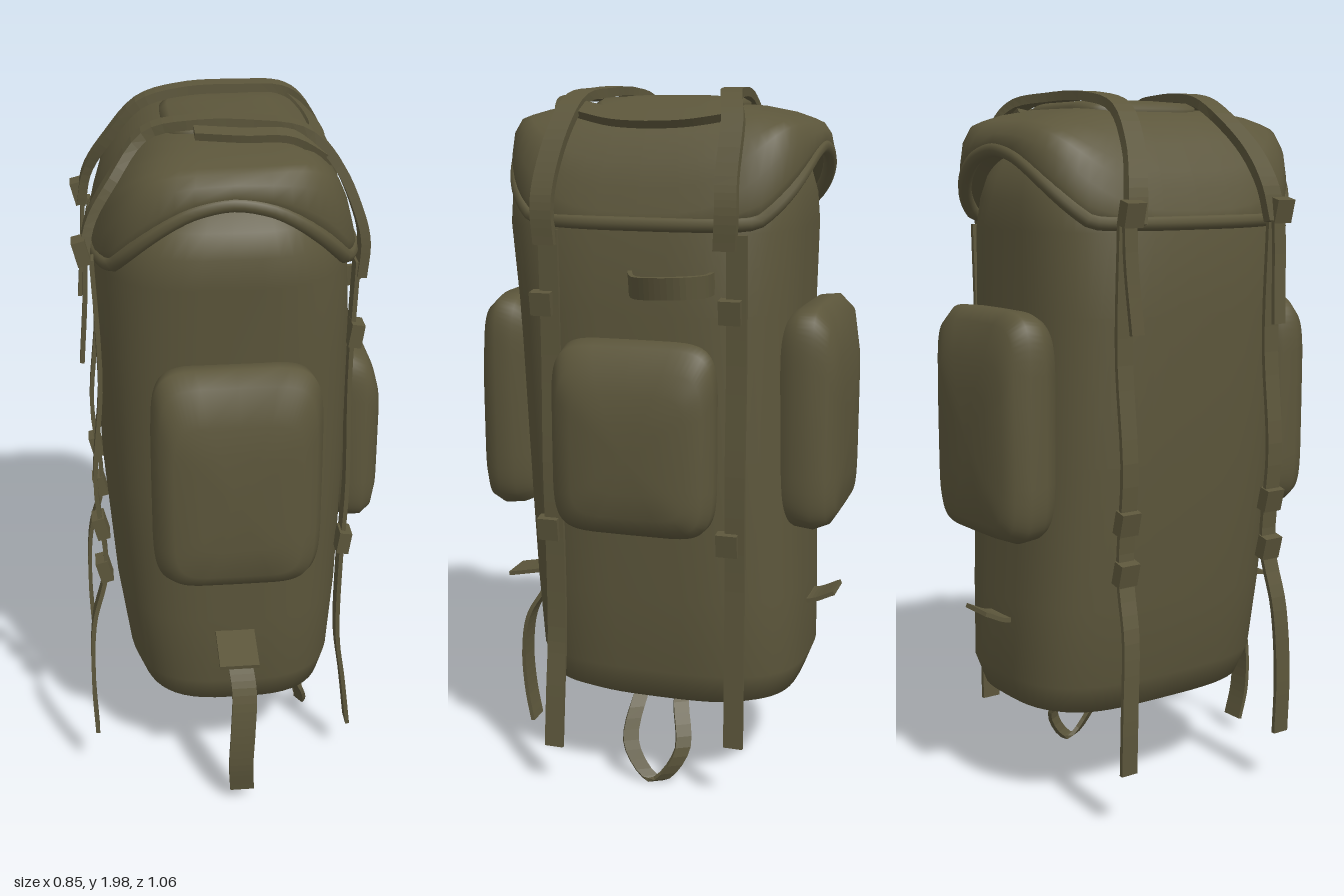
import * as THREE from 'three';

const canvas = new THREE.MeshStandardMaterial({ color: 0x5c563b });
canvas.name = 'olive canvas';

// Closed skin over a stack of point rings, capped at both ends
function skin(rings) {
  const n = rings[0].length, pos = [], idx = [];
  rings.forEach(r => r.forEach(p => pos.push(p.x, p.y, p.z)));
  for (let i = 0; i < rings.length - 1; i++) {
    for (let j = 0; j < n; j++) {
      const a = i * n + j, b = i * n + (j + 1) % n;
      idx.push(a, a + n, b, b, a + n, b + n);
    }
  }
  [0, rings.length - 1].forEach(i => {
    const c = rings[i].reduce((s, p) => s.add(p), new THREE.Vector3()).divideScalar(n);
    const k = pos.length / 3;
    pos.push(c.x, c.y, c.z);
    for (let j = 0; j < n; j++) {
      const a = i * n + j, b = i * n + (j + 1) % n;
      if (i === 0) idx.push(k, a, b); else idx.push(k, b, a);
    }
  });
  const g = new THREE.BufferGeometry();
  g.setAttribute('position', new THREE.Float32BufferAttribute(pos, 3));
  g.setIndex(idx);
  g.computeVertexNormals();
  return g;
}

// Rounded-rectangle outline in x and z
function outline(y, x0, x1, z0, z1, power, count = 56) {
  const f = v => Math.sign(v) * Math.pow(Math.abs(v), 2 / power);
  return Array.from({ length: count }, (_, j) => {
    const t = j / count * Math.PI * 2;
    return new THREE.Vector3(
      (x0 + x1) / 2 + f(Math.cos(t)) * (x1 - x0) / 2, y,
      (z0 + z1) / 2 + f(Math.sin(t)) * (z1 - z0) / 2);
  });
}

// Flat webbing along a curve; "side" is the direction of its width
function ribbon(points, side, width, thick = 0.012) {
  const curve = new THREE.CatmullRomCurve3(points.map(p => new THREE.Vector3(...p)));
  const s = new THREE.Vector3(...side).normalize(), rings = [], steps = points.length * 4;
  for (let i = 0; i <= steps; i++) {
    const p = curve.getPoint(i / steps);
    const n = s.clone().cross(curve.getTangent(i / steps)).normalize();
    rings.push([[1, -1], [1, 1], [-1, 1], [-1, -1]].map(([a, b]) =>
      p.clone().addScaledVector(s, a * width / 2).addScaledVector(n, b * thick / 2)));
  }
  const g = skin(rings).toNonIndexed();
  g.computeVertexNormals();
  return g;
}

// Height of the arched lid, and of its hem that dips at the corners and sides
function lidHeight(x, z) {
  const u = Math.abs(x - 0.02) / (x > 0.02 ? 0.30 : 0.38);
  return 1.945 - 0.25 * u ** 4.5 - 0.055 * (z / 0.42) ** 4;
}
const hemHeight = x => 1.83 - 0.19 * Math.min(1, Math.abs(x + 0.02) / 0.3) ** 2;

function lidRing(r, droop) {
  const ring = outline(0, -0.02 - 0.335 * r, -0.02 + 0.335 * r, -0.008 - 0.41 * r, -0.008 + 0.41 * r, 3.4);
  ring.forEach(p => { p.y = THREE.MathUtils.lerp(lidHeight(p.x, p.z), hemHeight(p.x), droop); });
  return ring;
}

// Points lying just above the lid, from x and z pairs
const onLid = (pairs, lift) => pairs.map(([x, z]) => [x, lidHeight(x, z) + lift, z]);

export function createModel() {
  const model = new THREE.Group();
  const add = (name, geometry) => {
    const m = new THREE.Mesh(geometry, canvas);
    m.name = name;
    model.add(m);
    return m;
  };
  const X = [1, 0, 0], Z = [0, 0, 1];

  // Main sack
  add('body', skin([
    [0.27, -0.12, 0.14, -0.22, 0.18], [0.272, -0.21, 0.23, -0.34, 0.27],
    [0.30, -0.27, 0.28, -0.40, 0.33], [0.38, -0.30, 0.30, -0.43, 0.36],
    [0.60, -0.33, 0.315, -0.425, 0.375], [1.0, -0.36, 0.325, -0.41, 0.395],
    [1.4, -0.37, 0.325, -0.40, 0.415], [1.62, -0.36, 0.31, -0.405, 0.44],
    [1.70, -0.335, 0.285, -0.40, 0.44], [1.76, -0.30, 0.255, -0.385, 0.415],
    [1.82, -0.24, 0.21, -0.35, 0.36], [1.86, -0.18, 0.18, -0.30, 0.30],
  ].map(r => outline(...r, 3.1))));

  // Arched lid with a draped skirt and a rolled hem
  add('lid', skin([[0.93, 0.95], [1.03, 1], [1.05, 0.6], [1.03, 0.2], [0.98, 0], [0.92, 0],
    [0.8, 0], [0.6, 0], [0.4, 0], [0.2, 0]].map(r => lidRing(...r))));
  add('lidHem', new THREE.TubeGeometry(
    new THREE.CatmullRomCurve3(lidRing(1.02, 0.95), true), 112, 0.02, 8, true));

  // Padded panel on the lid
  add('lidPanel', skin([[1, -0.02], [1, 0.006], [0.9, 0.016], [0.5, 0.02]].map(([r, lift]) => {
    const ring = outline(0, 0.03 - 0.2 * r, 0.03 + 0.2 * r, -0.02 - 0.19 * r, -0.02 + 0.19 * r, 5);
    ring.forEach(p => { p.y = lidHeight(p.x, p.z) + lift; });
    return ring;
  })));

  // Pockets: rings of distance, half width, bottom and top, swung to each face
  const pocket = (name, angle, shift, rings) => {
    const g = skin(rings.map(([d, w, y0, y1]) => outline(d, shift - w, shift + w, -y1, -y0, 6)));
    add(name, g.rotateX(Math.PI / 2).rotateY(angle));
  };
  const large = [[0.34, 0.20, 0.82, 1.37], [0.41, 0.222, 0.79, 1.41], [0.46, 0.225, 0.785, 1.415],
    [0.50, 0.205, 0.80, 1.38], [0.52, 0.17, 0.835, 1.28], [0.53, 0.10, 0.92, 1.20]];
  pocket('frontPocket', 0, -0.015, large);
  pocket('backPocket', Math.PI, 0.015, large);
  pocket('sidePocket', Math.PI / 2, 0.005, [[0.26, 0.21, 0.82, 1.31], [0.33, 0.23, 0.80, 1.335],
    [0.37, 0.228, 0.80, 1.32], [0.40, 0.205, 0.82, 1.26], [0.418, 0.16, 0.86, 1.20],
    [0.427, 0.09, 0.93, 1.12]]);

  // Two straps over the lid, with hanging tails on both sides
  [1, -1].forEach(s => {
    const front = s > 0;
    const across = front
      ? [[-0.31, 0.20], [-0.22, 0.145], [-0.1, 0.165], [0.05, 0.18], [0.18, 0.21], [0.26, 0.23]]
      : [[-0.31, -0.185], [-0.22, -0.165], [-0.1, -0.175], [0.05, -0.19], [0.18, -0.225], [0.24, -0.245]];
    add('lidStrap', ribbon([[-0.39, 1.64, s * 0.235], [-0.37, 1.74, s * 0.22], ...onLid(across, 0.03),
      [0.315, 1.76, s * 0.25], [0.335, 1.68, s * 0.255], [0.33, 1.58, s * 0.25]], Z, 0.06, 0.025));
    add('upperTail', ribbon([[-0.385, 1.68, s * 0.25], [-0.39, 1.55, s * 0.25],
      [-0.405, 1.36, s * 0.24]], Z, 0.04));
    add('plainSideStrap', ribbon([[-0.37, 1.65, s * 0.25], [-0.36, 1.3, s * 0.25], [-0.385, 1.0, s * 0.25],
      [-0.365, 0.72, s * 0.25], [-0.405, 0.55, s * 0.26], [-0.415, 0.35, s * 0.27],
      [-0.41, 0.17, s * 0.27]], Z, 0.05));
    const z = front ? 0.245 : -0.28, end = front ? 0.13 : 0.18, out = front ? 0.345 : 0.305;
    add('pocketSideStrap', ribbon([[0.32, 1.62, z], [0.31, 1.3, z], [0.315, 0.95, z], [0.305, 0.7, z],
      [0.305, 0.45, z], [(out + 0.305) / 2, 0.3, z], [out, end, z]], Z, 0.055));

    // Buckles where the straps are cinched
    [[-0.395, 1.67, 0.25], [-0.375, 0.86, 0.25], [-0.37, 0.72, 0.25],
      [0.31, 0.78, 0.26], [0.32, 1.42, 0.265]].forEach(([x, y, bz]) => {
      const b = add('buckle', new THREE.BoxGeometry(0.035, 0.065, 0.06));
      b.position.set(x, y, s * bz);
      b.rotation.z = x < 0 ? 0.25 : -0.15;
    });

    // Short webbing stubs low on the front and back
    add('webbingStub', ribbon([[-0.01, 0.56, s * 0.36], [-0.01, 0.545, s * 0.43],
      [-0.01, front ? 0.53 : 0.575, s * 0.505]], X, 0.11));
  });

  // Strap along the lid edge joining the two cross straps, and a loose grip
  add('lidEdgeStrap', ribbon(onLid([[0.19, -0.24], [0.225, -0.1], [0.225, 0.08], [0.19, 0.21]], 0.012),
    [1, -0.7, 0], 0.05, 0.025));
  add('lidGrip', ribbon(onLid([[-0.1, 0.22], [0.02, 0.25], [0.14, 0.255], [0.25, 0.225]], 0.02),
    [0, -0.2, 1], 0.045, 0.02));

  // Carry loop on the pocket side
  add('sideGrip', ribbon([[0.30, 1.49, 0.02], [0.36, 1.48, -0.01], [0.405, 1.485, -0.08],
    [0.41, 1.49, -0.16], [0.36, 1.49, -0.205], [0.30, 1.49, -0.21]], [0.15, 1, 0], 0.06));

  // Long strap hanging from the front
  add('frontHangingStrap', ribbon([[-0.01, 0.535, 0.37], [0, 0.48, 0.40], [0.01, 0.40, 0.445],
    [0.005, 0.28, 0.465], [0, 0.15, 0.46], [0.005, 0.05, 0.44]], X, 0.07));

  // Loop under the base
  add('baseLoop', ribbon([[0.05, 0.28, 0.04], [0.15, 0.235, 0.045], [0.225, 0.11, 0.05],
    [0.24, 0.015, -0.03], [0.225, 0.11, -0.105], [0.15, 0.235, -0.08], [0.05, 0.28, -0.07]],
  [0.5, 0, 0.85], 0.045));

  return model;
}
